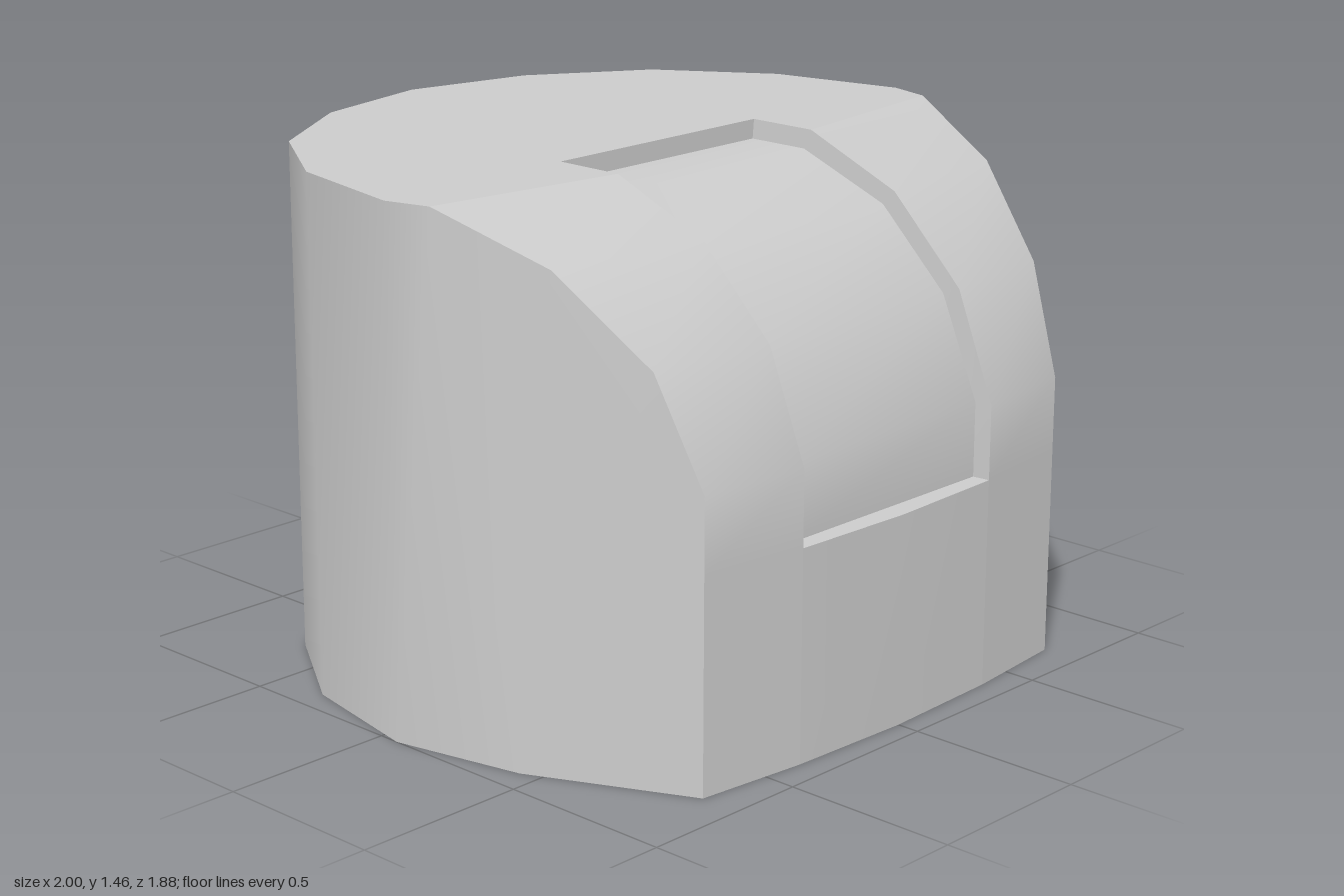
import * as THREE from 'three';
import { mergeVertices } from 'three/addons/utils/BufferGeometryUtils.js';

const TOP = 1.455, LEDGE = 0.59, HALF = 0.38, FLOOR_HALF = 0.375;

// Smooth skin through rows of [x, y, z] points, rows upward, columns rightward as seen from outside
function loft(rows) {
  const n = rows[0].length, index = [];
  for (let r = 0; r < rows.length - 1; r++) {
    for (let c = 0; c < n - 1; c++) {
      const a = r * n + c, b = a + 1, e = a + n, d = e + 1;
      index.push(a, b, d, a, d, e);
    }
  }
  let g = new THREE.BufferGeometry();
  g.setAttribute('position', new THREE.Float32BufferAttribute(rows.flat(2), 3));
  g.setIndex(index);
  g = mergeVertices(g, 1e-4);
  g.computeVertexNormals();
  return g;
}

const mirrorRow = (row) => row.map(([x, y, z]) => [-x, y, z]).reverse();

// Flat horizontal cap from [x, z] points
function cap(points, y, up) {
  const s = up ? -1 : 1;
  const shape = new THREE.Shape(points.map(([x, z]) => new THREE.Vector2(x, s * z)));
  const g = new THREE.ShapeGeometry(shape);
  g.rotateX(s * Math.PI / 2);
  g.translate(0, y, 0);
  return g;
}

export function createModel() {
  const group = new THREE.Group();
  const material = new THREE.MeshStandardMaterial({ color: 0xcccccc, side: THREE.DoubleSide });
  const add = (name, geometry) => {
    const mesh = new THREE.Mesh(geometry, material);
    mesh.name = name;
    group.add(mesh);
  };

  // Rear half of the plan, from the widest point to the back, then mirrored
  const rear = [[1, 0.06], [0.92, -0.33], [0.71, -0.65], [0.38, -0.86]];
  const mirrorPlan = (pts) => pts.map(([x, z]) => [-x, z]).reverse();
  const back = [[0, -0.94]];

  // Curved front edge: corner line and line beside the recess
  const corner = [[0.71, 0.8, 0.885], [0.76, 1.1, 0.76], [0.86, 1.33, 0.51], [0.965, TOP, 0.19]];
  const inner = [[0.92, 0.8], [0.8, 1.1], [0.57, 1.33], [0.27, TOP]];

  // Wrap-around side and back wall
  const side = [0.92, 0, 0.44];
  const lowHalf = [[0.71, 0, 0.885], side, side, side, ...rear.map(([x, z]) => [x, 0, z])];
  const highHalf = [...corner, ...rear.map(([x, z]) => [x, TOP, z])];
  add('outerWall', loft([
    [...lowHalf, [0, 0, -0.94], ...mirrorRow(lowHalf)],
    [...highHalf, [0, TOP, -0.94], ...mirrorRow(highHalf)],
  ]));

  // Rounded front on each side of the recess
  const cheek = [0, LEDGE].map((y) => [[HALF, y, 0.92], [0.71, y, 0.885]]);
  inner.forEach(([z, y], i) => cheek.push([[HALF, y, z], corner[i]]));
  add('leftFront', loft(cheek));
  add('rightFront', loft(cheek.map(mirrorRow)));

  // Front panel below the recess, and its ledge
  const frontRow = (y) => [[-HALF, y, 0.92], [0, y, 0.935], [HALF, y, 0.92]];
  add('lowerFront', loft([frontRow(0), frontRow(LEDGE)]));
  add('recessLedge', loft([frontRow(LEDGE), [-HALF, 0, HALF].map((x) => [x, LEDGE, 0.87])]));

  // Recess floor, side walls and back wall
  const floor = [[0.87, LEDGE], [0.87, 0.8], [0.75, 1.08], [0.535, 1.29], [0.25, 1.4], [0.06, 1.4]];
  const rim = [[0.92, LEDGE], ...inner, [0.06, TOP]];
  add('recessFloor', loft(floor.map(([z, y]) => [[-FLOOR_HALF, y, z], [FLOOR_HALF, y, z]])));
  const wall = floor.map(([z, y], i) => [[FLOOR_HALF, y, z], [HALF, rim[i][1], rim[i][0]]]);
  add('recessLeftWall', loft(wall));
  add('recessRightWall', loft(wall.map(mirrorRow)));
  add('recessBackWall', loft([1.4, TOP].map((y) => [[-HALF, y, 0.06], [HALF, y, 0.06]])));

  // Top with the notch of the recess, and the base
  const topHalf = [[HALF, 0.06], [HALF, 0.27], [0.965, 0.19], ...rear];
  add('top', cap([...topHalf, ...back, ...mirrorPlan(topHalf)], TOP, true));
  const baseHalf = [[HALF, 0.92], [0.71, 0.885], [0.92, 0.44], ...rear];
  add('base', cap([[0, 0.935], ...baseHalf, ...back, ...mirrorPlan(baseHalf)], 0, false));

  return group;
}
